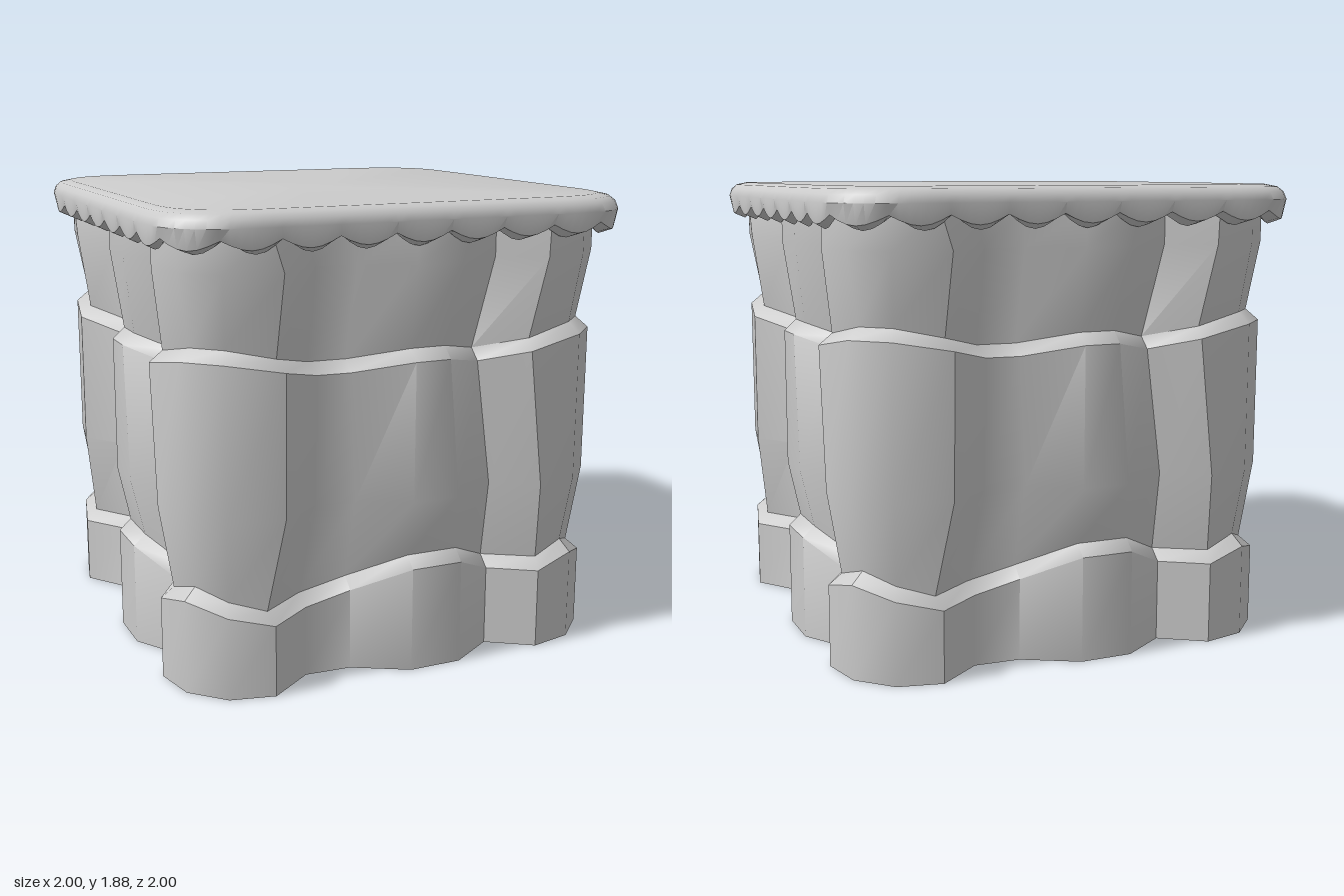
import * as THREE from 'three';
import { toCreasedNormals } from 'three/addons/utils/BufferGeometryUtils.js';

// Turn one quarter of a ring ([x, y, z] points along the front) into a full ring.
function fullRing(quarter) {
  const ring = [];
  let pts = quarter;
  for (let q = 0; q < 4; q++) {
    ring.push(...pts);
    pts = pts.map(([x, y, z]) => [z, y, -x]);
  }
  return ring;
}

// Skin a stack of rings from bottom to top; a ring shrunk to the axis closes the end.
function loft(rings, crease) {
  const n = rings[0].length;
  const index = [];
  const isPole = (r) => Math.hypot(rings[r][0][0], rings[r][0][2]) < 1e-6;
  for (let r = 0; r < rings.length - 1; r++) {
    for (let j = 0; j < n; j++) {
      const k = (j + 1) % n;
      const a = r * n + j, b = r * n + k, c = a + n, d = b + n;
      if (!isPole(r)) index.push(a, b, d);
      if (!isPole(r + 1)) index.push(a, d, c);
    }
  }
  const geo = new THREE.BufferGeometry();
  geo.setAttribute('position', new THREE.Float32BufferAttribute(rings.flat(2), 3));
  geo.setIndex(index);
  return toCreasedNormals(geo, crease);
}

// Body outlines, one quarter each: left column edge, draped panel, step, rounded corner column
const Z = [0.94, 0.81, 0.82, 0.94, 0.94, 0.82, 0.94, 0.90, 0.77];
const Z_IN = [0.89, 0.76, 0.77, 0.89, 0.89, 0.77, 0.89, 0.85, 0.75];
const X_BASE = [-0.59, -0.41, -0.22, 0, 0.22, 0.41, 0.59, 0.77, 0.90];
const X_BASE_IN = [-0.605, -0.42, -0.22, 0, 0.22, 0.41, 0.605, 0.75, 0.85];
const X_MID = [-0.545, -0.37, -0.2, 0, 0.2, 0.41, 0.585, 0.77, 0.90];
const X_HIGH = [-0.54, -0.36, -0.22, 0, 0.15, 0.34, 0.52, 0.77, 0.90];
const X_HIGH_IN = [-0.56, -0.38, -0.22, 0, 0.15, 0.34, 0.535, 0.75, 0.85];
const Y_BASE = [0.29, 0.29, 0.335, 0.43, 0.43, 0.335, 0.335, 0.38, 0.335];
const Y_HIGH = [1.28, 1.23, 1.23, 1.275, 1.275, 1.23, 1.275, 1.32, 1.32];

const outline = (xs, y, zs) =>
  fullRing(xs.map((x, i) => [x, Array.isArray(y) ? y[i] : y, zs[i]]));
const raise = (ys) => ys.map((y) => y + 0.046);

// Rim outline: seven scallops along a side plus one round the corner
function capRing(scale, y, dip) {
  const steps = 6, quarter = [];
  const corner = new THREE.QuadraticBezierCurve(
    new THREE.Vector2(0.81, 0.98), new THREE.Vector2(0.935, 0.935), new THREE.Vector2(0.98, 0.81));
  for (let i = 0; i < 8 * steps; i++) {
    const t = i / steps;
    let x, z;
    if (t < 7) {
      x = -0.81 + (1.62 * t) / 7;
      z = 1 - 0.02 * Math.max(0, (Math.abs(x) - 0.64) / 0.17) ** 2;
    } else {
      ({ x, y: z } = corner.getPoint(t - 7));
    }
    const wave = Math.sin(Math.PI * (t % 1));
    quarter.push([x * scale, y - dip * wave, z * scale]);
  }
  return fullRing(quarter);
}

export function createModel() {
  const group = new THREE.Group();
  const material = new THREE.MeshStandardMaterial({ color: 0xcccccc, side: THREE.DoubleSide });

  const add = (name, rings, crease) => {
    const mesh = new THREE.Mesh(loft(rings, crease), material);
    mesh.name = name;
    group.add(mesh);
  };

  // Hollow body in three draped tiers, each ending in a sloped ledge, open below
  add('drapedBody', [
    outline(X_BASE, 0, Z),
    outline(X_BASE, Y_BASE, Z),
    outline(X_BASE_IN, raise(Y_BASE), Z_IN),
    outline(X_MID, 0.71, Z),
    outline(X_HIGH, Y_HIGH, Z),
    outline(X_HIGH_IN, raise(Y_HIGH), Z_IN),
    outline(X_MID, 1.65, Z),
    outline(X_BASE, 1.79, Z),
  ], 0.72);

  // Rounded lid with a scalloped lower rim
  add('scallopedLid', [
    capRing(0, 1.8, 0),
    capRing(0.9, 1.8, 0),
    capRing(0.945, 1.785, 0.06),
    capRing(0.988, 1.782, 0.037),
    capRing(1, 1.825, 0),
    capRing(0.99, 1.855, 0),
    capRing(0.97, 1.875, 0),
    capRing(0.93, 1.885, 0),
    capRing(0, 1.885, 0),
  ], 0.6);

  return group;
}
